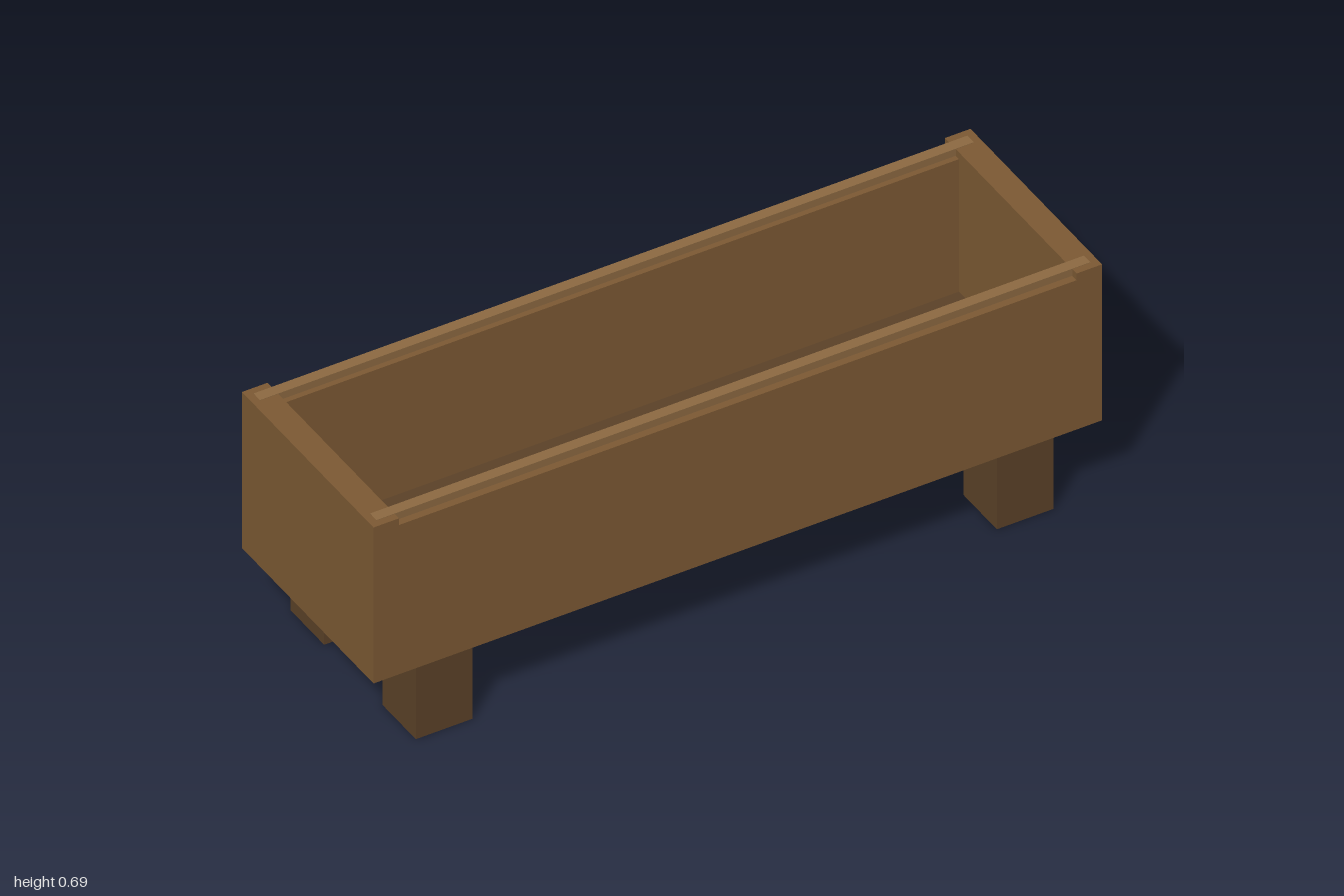
import * as THREE from 'three';

const wood = new THREE.MeshStandardMaterial({ color: 0x7d5a34 });
const darkWood = new THREE.MeshStandardMaterial({ color: 0x5c4228 });
const lightWood = new THREE.MeshStandardMaterial({ color: 0x8d6a42 });

// Box given by its minimum and maximum on each axis
function board(name, material, [x0, x1], [y0, y1], [z0, z1]) {
  const mesh = new THREE.Mesh(new THREE.BoxGeometry(x1 - x0, y1 - y0, z1 - z0), material);
  mesh.position.set((x0 + x1) / 2, (y0 + y1) / 2, (z0 + z1) / 2);
  mesh.name = name;
  return mesh;
}

// Same range on the positive or the negative side of an axis
const side = (s, a, b) => (s > 0 ? [a, b] : [-b, -a]);

export function createModel() {
  const planter = new THREE.Group();
  planter.name = 'planterBox';
  const bottom = 0.225, top = 0.69, wallTop = 0.67;
  const outerZ = 0.305, innerZ = 0.24, innerX = 0.93;

  // Floor panel between the walls
  planter.add(board('floor', darkWood, [-innerX, innerX], [bottom, bottom + 0.05], [-innerZ, innerZ]));

  for (const s of [1, -1]) {
    const lr = s > 0 ? 'left' : 'right';
    const fb = s > 0 ? 'front' : 'back';

    // End walls stand a little taller than the long walls
    planter.add(board(lr + 'EndWall', wood, side(s, innerX, 1), [bottom, top], [-outerZ, outerZ]));
    planter.add(board(fb + 'Wall', wood, [-innerX, innerX], [bottom, wallTop], side(s, innerZ, outerZ)));

    // Narrow rail along each long wall, let into the end walls
    planter.add(board(fb + 'Rail', lightWood, [-0.98, 0.98], [wallTop - 0.01, top + 0.001], side(s, 0.255, 0.285)));

    // Square legs
    for (const t of [1, -1]) {
      const name = fb + (t > 0 ? 'Left' : 'Right') + 'Leg';
      planter.add(board(name, darkWood, side(t, 0.72, 0.875), [0, bottom], side(s, 0.135, 0.29)));
    }
  }
  return planter;
}
